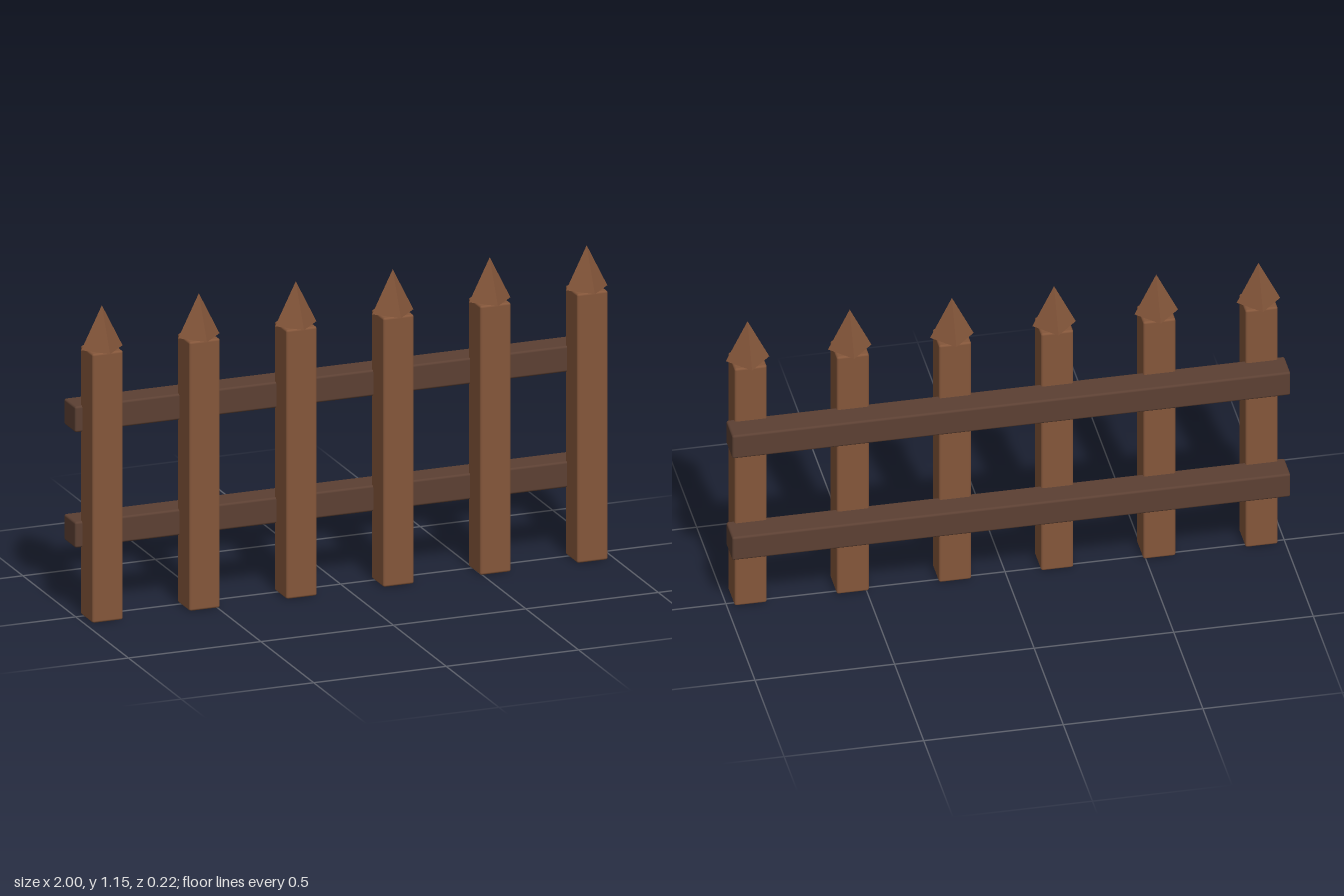
import * as THREE from 'three';
import { RoundedBoxGeometry } from 'three/addons/geometries/RoundedBoxGeometry.js';

export function createModel() {
  const fence = new THREE.Group();
  fence.name = 'picketFence';

  const postWood = new THREE.MeshStandardMaterial({ color: 0x84563a });
  postWood.name = 'postWood';
  const railWood = new THREE.MeshStandardMaterial({ color: 0x5c4033 });
  railWood.name = 'railWood';

  const add = (name, geometry, material, x, y, z) => {
    const mesh = new THREE.Mesh(geometry, material);
    mesh.name = name;
    mesh.position.set(x, y, z);
    fence.add(mesh);
  };

  // Upright posts, each with a four-sided pointed cap turned corner-forward
  const count = 6, spacing = 0.366, postZ = 0.035;
  const postHeight = 0.993, capHeight = 0.157;
  const postGeo = new RoundedBoxGeometry(0.116, postHeight, 0.116, 2, 0.008);
  const capGeo = new THREE.ConeGeometry(0.078, capHeight, 4).toNonIndexed();
  capGeo.computeVertexNormals();
  for (let i = 0; i < count; i++) {
    const x = (i - (count - 1) / 2) * spacing;
    add('post', postGeo, postWood, x, postHeight / 2, postZ);
    add('postCap', capGeo, postWood, x, postHeight + capHeight / 2, postZ);
  }

  // Two horizontal rails along the back
  const railGeo = new RoundedBoxGeometry(2, 0.096, 0.108, 2, 0.008);
  add('lowerRail', railGeo, railWood, 0, 0.299, -0.058);
  add('upperRail', railGeo, railWood, 0, 0.725, -0.058);

  return fence;
}
